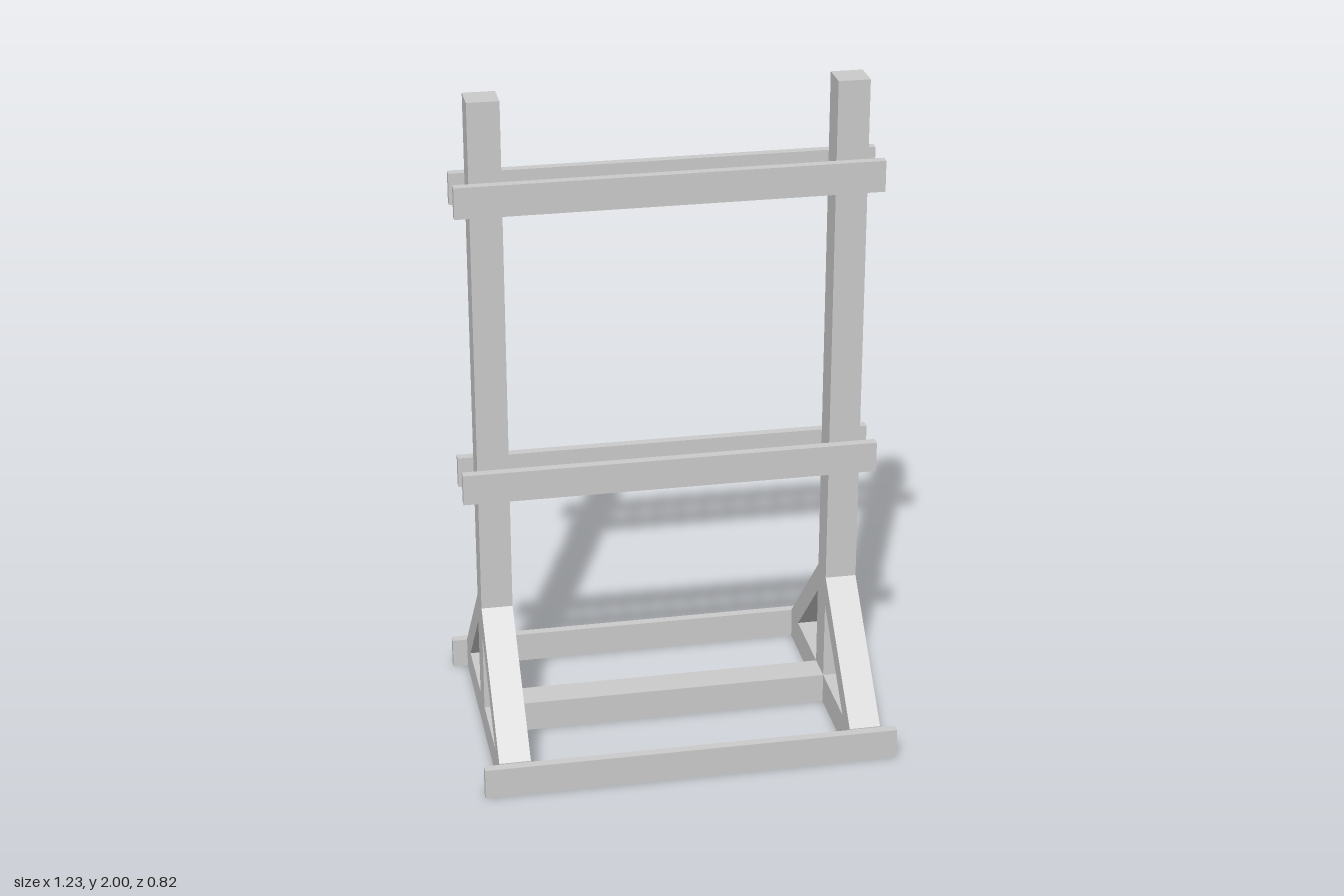
import * as THREE from 'three';

const BEAM = 0.093;      // square section of the heavy timber
const HALF = BEAM / 2;
const POST_X = 0.525;    // post centre
const FOOT_Z = 0.381;    // half length of a foot
const BOARD_T = 0.027;   // board thickness
const BOARD_L = 1.234;   // board length

export function createModel() {
  const group = new THREE.Group();
  const material = new THREE.MeshStandardMaterial({ color: 0xcccccc, flatShading: true });

  function add(name, geometry, x, y, z) {
    const mesh = new THREE.Mesh(geometry, material);
    mesh.name = name;
    mesh.position.set(x, y, z);
    group.add(mesh);
    return mesh;
  }
  const box = (name, w, h, d, x, y, z) => add(name, new THREE.BoxGeometry(w, h, d), x, y, z);

  // 45 degree brace outline (shape x = distance from the post centre)
  const braceShape = new THREE.Shape([
    [HALF, 0.431], [HALF, 0.339], [0.385 - BEAM, BEAM], [FOOT_Z, BEAM], [FOOT_Z, 0.096],
  ].map(([z, y]) => new THREE.Vector2(z, y)));
  const braceGeometry = new THREE.ExtrudeGeometry(braceShape, { depth: BEAM, bevelEnabled: false });
  braceGeometry.translate(0, 0, -HALF);

  for (const [side, s] of [['left', 1], ['right', -1]]) {
    const x = s * POST_X;
    // Upright post standing on the ground
    box(side + 'Post', BEAM, 2, BEAM, x, 1, 0);
    for (const [end, e] of [['Front', 1], ['Back', -1]]) {
      // Foot half and diagonal brace on each side of the post
      box(side + end + 'Foot', BEAM, BEAM, FOOT_Z - HALF, x, HALF, e * (FOOT_Z + HALF) / 2);
      add(side + end + 'Brace', braceGeometry, x, 0, 0).rotation.y = -e * Math.PI / 2;
    }
  }

  // Beam joining the two posts at the ground
  box('baseBeam', 2 * POST_X - BEAM, BEAM, BEAM, 0, HALF, 0);

  // Boards: paired rails on the posts, and one across each end of the feet
  for (const [end, e] of [['front', 1], ['back', -1]]) {
    box(end + 'BaseBoard', BOARD_L, BEAM, BOARD_T, 0, HALF, e * (FOOT_Z + BOARD_T / 2));
    box(end + 'MiddleRail', BOARD_L, BEAM, BOARD_T, 0, 0.837, e * (0.048 + BOARD_T / 2));
    box(end + 'TopRail', BOARD_L, BEAM, BOARD_T, 0, 1.719, e * (0.048 + BOARD_T / 2));
  }

  return group;
}
